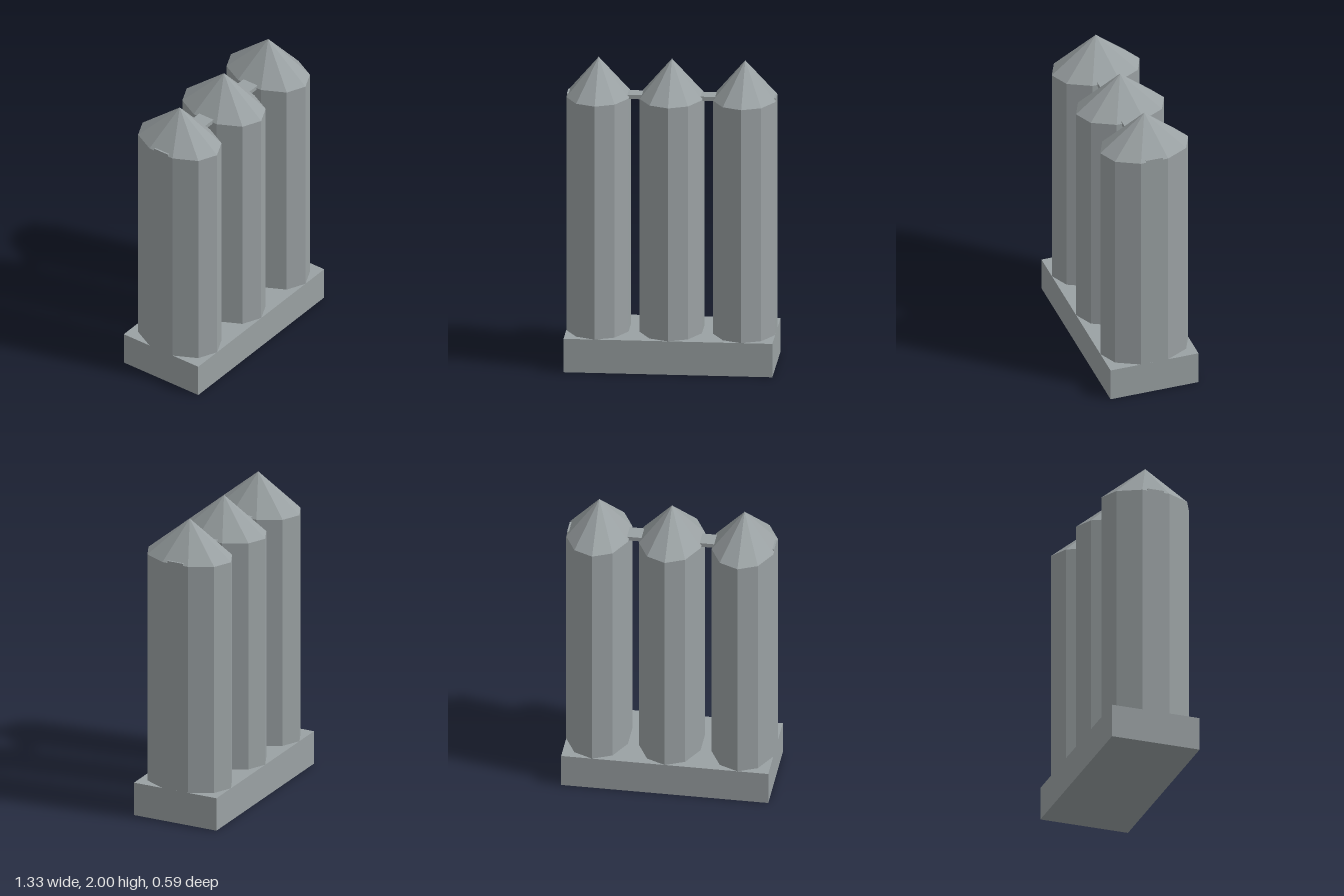
import * as THREE from 'three';

const SIDES = 10, RX = 0.208, RZ = 0.295, SPACING = 0.466;
const BASE_TOP = 0.22, SHOULDER = 1.755, TIP = 2;

export function createModel() {
  const model = new THREE.Group();
  model.name = 'picketRow';
  const grey = new THREE.MeshStandardMaterial({ color: 0x9aa1a3, flatShading: true });
  grey.name = 'stone grey';

  const add = (parent, name, geometry, x, y) => {
    const mesh = new THREE.Mesh(geometry, grey);
    mesh.name = name;
    mesh.position.set(x, y, 0);
    parent.add(mesh);
  };

  // Plinth under all posts
  add(model, 'base', new THREE.BoxGeometry(1.328, BASE_TOP, RZ * 2), 0, BASE_TOP / 2);

  // Three oval ten-sided posts with pointed caps
  const shaftHeight = SHOULDER - BASE_TOP, capHeight = TIP - SHOULDER;
  const shaft = new THREE.CylinderGeometry(1, 1, shaftHeight, SIDES, 1, true).scale(RX, 1, RZ);
  const cap = new THREE.ConeGeometry(1, capHeight, SIDES, 1, true).scale(RX, 1, RZ);
  ['rightPost', 'middlePost', 'leftPost'].forEach((name, i) => {
    const post = new THREE.Group();
    post.name = name;
    post.position.x = (i - 1) * SPACING;
    add(post, 'shaft', shaft, 0, BASE_TOP + shaftHeight / 2);
    add(post, 'pointedCap', cap, 0, SHOULDER + capHeight / 2);
    model.add(post);
  });

  // Thin rail running through the shoulders
  add(model, 'rail', new THREE.BoxGeometry(1.328, 0.027, 0.112), 0, 1.7555);
  return model;
}
